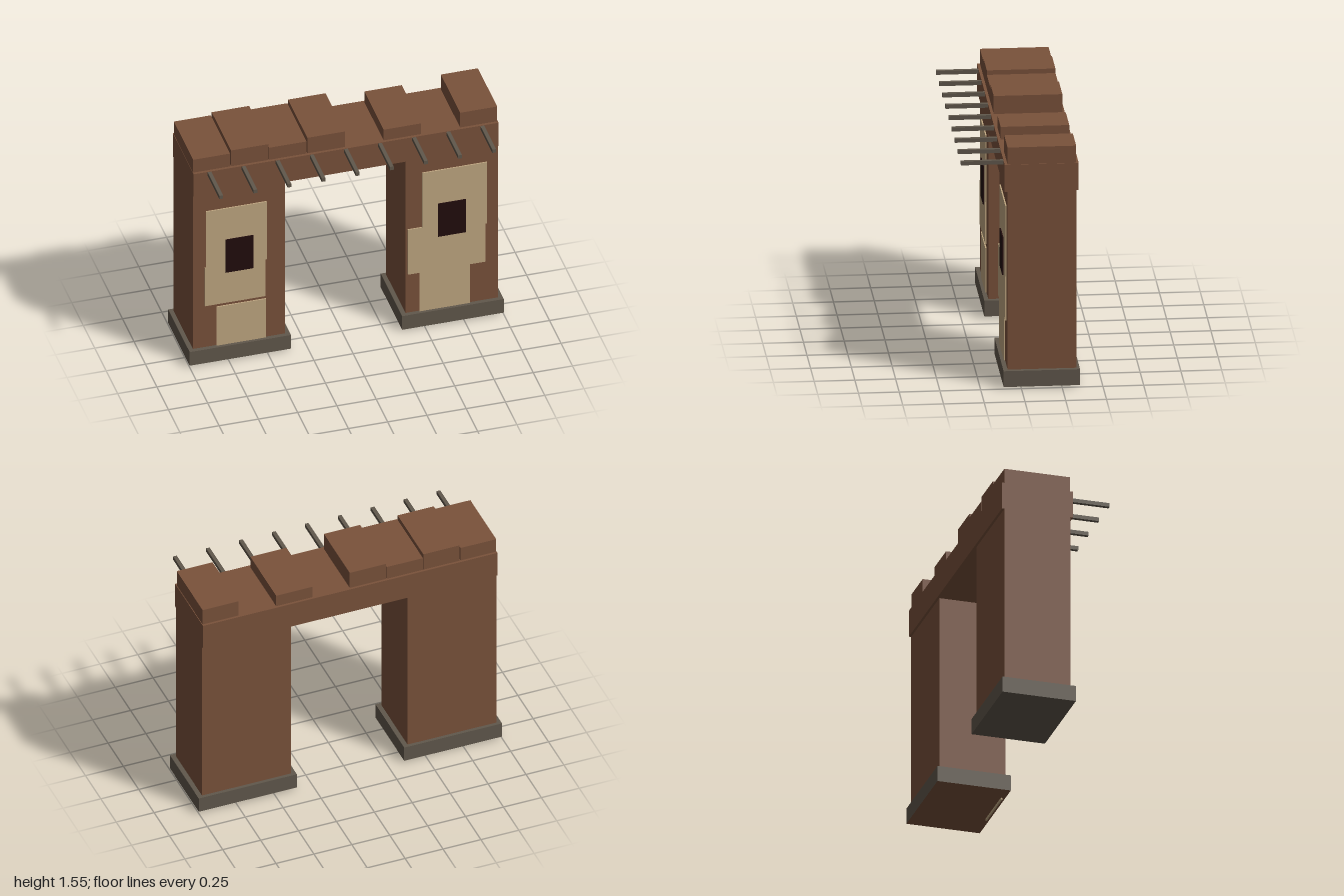
import * as THREE from 'three';

const mat = (name, color) => {
  const m = new THREE.MeshStandardMaterial({ color });
  m.name = name;
  return m;
};

export function createModel() {
  const brick = mat('brick brown', 0x7a523b);
  const stone = mat('stone grey', 0x61584c);
  const plaster = mat('plaster tan', 0xc1a882);
  const dark = mat('window dark', 0x210c0d);

  const model = new THREE.Group();
  model.name = 'ruinedGate';

  // Box given by its minimum and maximum on each axis
  const box = (name, material, [x0, x1], [y0, y1], [z0, z1], parent = model) => {
    const mesh = new THREE.Mesh(new THREE.BoxGeometry(x1 - x0, y1 - y0, z1 - z0), material);
    mesh.position.set((x0 + x1) / 2, (y0 + y1) / 2, (z0 + z1) / 2);
    mesh.name = name;
    parent.add(mesh);
    return mesh;
  };

  const bodyZ = [-0.339, 0.082];

  // Two towers, each with a plinth, worn plaster patches and a window
  const towers = [
    {
      name: 'rightTower', body: [-0.972, -0.385], base: [-1, -0.355], window: [-0.767, -0.591],
      underside: stone,
      patches: [
        [[-0.89, -0.503], [0.7, 1.131]],
        [[-0.898, -0.513], [0.425, 0.71]],
        [[-0.823, -0.508], [0.06, 0.404]],
      ],
    },
    {
      name: 'leftTower', body: [0.382, 0.97], base: [0.353, 1], window: [0.586, 0.762],
      underside: brick,
      patches: [
        [[0.487, 0.9], [0.69, 1.147]],
        [[0.396, 0.888], [0.404, 0.74]],
        [[0.47, 0.79], [0, 0.404]],
      ],
    },
  ];
  for (const t of towers) {
    const tower = new THREE.Group();
    tower.name = t.name;
    model.add(tower);
    box('towerBody', brick, t.body, [0.06, 1.3], bodyZ, tower);
    box('plinth', [stone, stone, stone, t.underside, stone, stone], t.base, [0.013, 0.115], [-0.36, 0.109], tower);
    for (const [x, y] of t.patches) box('plasterPatch', plaster, x, y, [0.081, 0.09], tower);
    box('window', dark, t.window, [0.655, 0.9], [0.089, 0.097], tower);
  }

  // Lintel across both towers
  box('lintel', brick, [-0.972, 0.97], [1.262, 1.436], [-0.354, 0.1]);

  // Uneven broken battlements
  const battlements = [
    [-0.97, -0.735, 1.532], [-0.729, -0.49, 1.554], [-0.487, -0.248, 1.526],
    [-0.243, -0.004, 1.552], [0.243, 0.481, 1.516], [0.73, 0.966, 1.546],
  ];
  for (const [x0, x1, top] of battlements) box('battlement', brick, [x0, x1], [1.42, top], bodyZ);

  // Row of projecting beams
  for (let i = 0; i < 9; i++) {
    const x = -0.872 + i * 0.2172;
    box('beam', stone, [x - 0.012, x + 0.012], [1.409, 1.434], [0.05, 0.36]);
  }

  return model;
}
